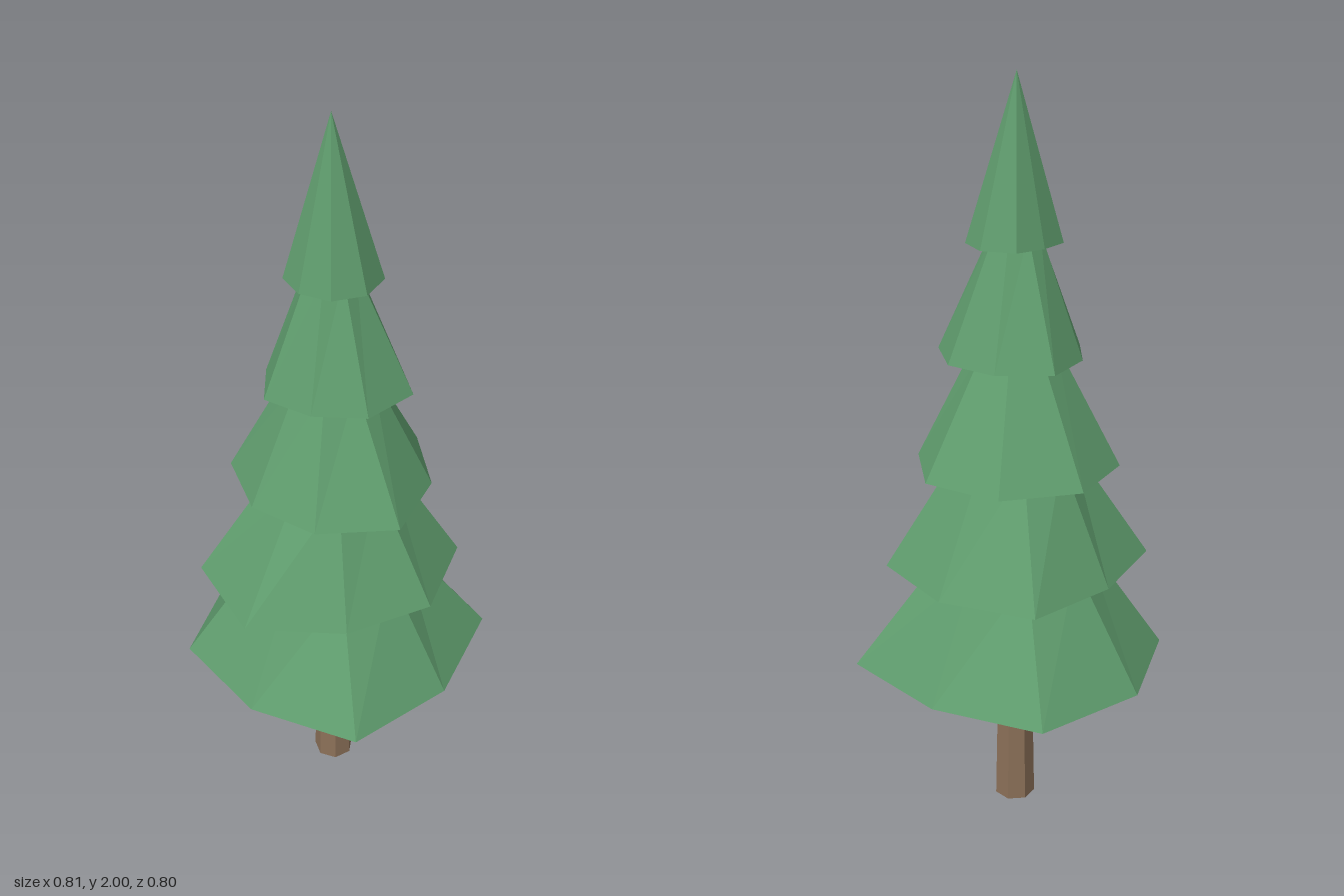
import * as THREE from 'three';

const SIDES = 8;
const STEP = (Math.PI * 2) / SIDES;

// Skirts from bottom to top: base height, height, top radius, twist in degrees,
// and the uneven radius of each lower corner.
const TIERS = [
  { y: 0.45, h: 0.32, top: 0.19, twist: -16, radii: [0.437, 0.378, 0.416, 0.365, 0.407, 0.39, 0.416, 0.367] },
  { y: 0.735, h: 0.32, top: 0.145, twist: -14.5, radii: [0.346, 0.325, 0.307, 0.364, 0.357, 0.298, 0.35, 0.321] },
  { y: 1.02, h: 0.32, top: 0.1, twist: 2, radii: [0.26, 0.29, 0.257, 0.248, 0.27, 0.28, 0.28, 0.28] },
  { y: 1.305, h: 0.32, top: 0.06, twist: 10, radii: [0.209, 0.19, 0.167, 0.186, 0.173, 0.198, 0.183, 0.191] },
  { y: 1.59, h: 0.41, top: 0, twist: -7, radii: [0.126, 0.118, 0.111, 0.107, 0.116, 0.096, 0.115, 0.124] },
];

// Eight-sided skirt whose lower corners are pulled in and out
function skirtGeometry({ h, top, twist, radii }) {
  const geometry = new THREE.CylinderGeometry(top, 1, h, SIDES);
  const pos = geometry.attributes.position;
  for (let i = 0; i < pos.count; i++) {
    const x = pos.getX(i), z = pos.getZ(i);
    if (Math.hypot(x, z) < 1e-4) continue; // centre points stay put
    const k = (Math.round(Math.atan2(z, x) / STEP) + SIDES) % SIDES;
    const angle = THREE.MathUtils.degToRad(twist) + k * STEP;
    const r = pos.getY(i) < 0 ? radii[k] : top;
    pos.setX(i, Math.cos(angle) * r);
    pos.setZ(i, Math.sin(angle) * r);
  }
  geometry.translate(0, h / 2, 0);
  geometry.computeVertexNormals();
  return geometry;
}

export function createModel() {
  const tree = new THREE.Group();
  tree.name = 'pineTree';

  const needles = new THREE.MeshStandardMaterial({ color: 0x5f9c6d, flatShading: true });
  const bark = new THREE.MeshStandardMaterial({ color: 0x8b7058, flatShading: true });

  // Tapered trunk
  const trunk = new THREE.Mesh(new THREE.CylinderGeometry(0.046, 0.056, 0.5, 7), bark);
  trunk.name = 'trunk';
  trunk.position.set(-0.012, 0.25, 0.003);
  trunk.rotation.y = -Math.PI / 2;
  tree.add(trunk);

  // Stacked foliage
  TIERS.forEach((tier, i) => {
    const skirt = new THREE.Mesh(skirtGeometry(tier), needles);
    skirt.name = `foliageTier${i + 1}`;
    skirt.position.set(-0.015, tier.y, 0);
    tree.add(skirt);
  });

  return tree;
}
